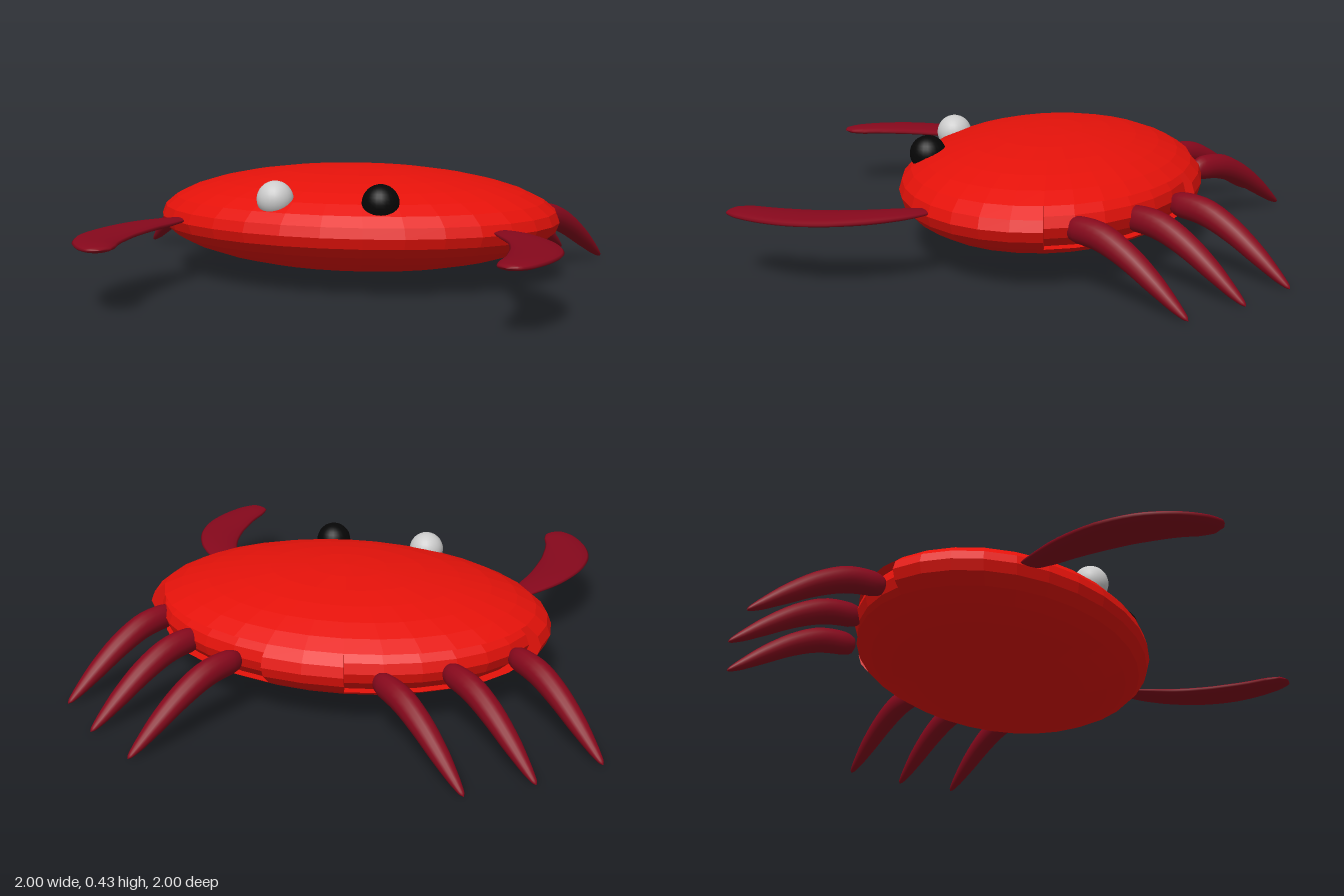
import * as THREE from 'three';

const shellRed = new THREE.MeshStandardMaterial({ color: 0xe5120a, flatShading: true });
const limbRed = new THREE.MeshStandardMaterial({ color: 0x86081c });
const black = new THREE.MeshStandardMaterial({ color: 0x060606 });
const grey = new THREE.MeshStandardMaterial({ color: 0xcccccc });

// Ellipsoid shell of 32 x 16 faces, with a shallow recess behind each group of legs
function shellGeometry() {
  const center = [0.08, 0.233, -0.067], radius = [0.799, 0.2, 0.573], inset = 0.94;
  const step = Math.PI / 16, pos = [];
  const point = (i, j, k = 1) => {
    const a = i * step, lat = j * step - Math.PI / 2, c = Math.cos(lat) * k;
    return [center[0] + radius[0] * c * Math.cos(a), center[1] + radius[1] * Math.sin(lat),
      center[2] - radius[2] * c * Math.sin(a)];
  };
  const quad = (a, b, c, d) => pos.push(...a, ...b, ...c, ...a, ...c, ...d);
  const sunk = (i, j) => j >= 6 && j <= 9 && ((i >= 1 && i <= 6) || (i >= 9 && i <= 14));
  for (let i = 0; i < 32; i++) {
    for (let j = 0; j < 16; j++) {
      const s = sunk(i, j), k = s ? inset : 1;
      quad(point(i, j, k), point(i + 1, j, k), point(i + 1, j + 1, k), point(i, j + 1, k));
      if (!s) continue;
      // recess walls
      const wall = (i0, j0, i1, j1) =>
        quad(point(i0, j0), point(i1, j1), point(i1, j1, inset), point(i0, j0, inset));
      if (!sunk(i - 1, j)) wall(i, j + 1, i, j);
      if (!sunk(i + 1, j)) wall(i + 1, j, i + 1, j + 1);
      if (!sunk(i, j - 1)) wall(i, j, i + 1, j);
      if (!sunk(i, j + 1)) wall(i + 1, j + 1, i, j + 1);
    }
  }
  const g = new THREE.BufferGeometry();
  g.setAttribute('position', new THREE.Float32BufferAttribute(pos, 3));
  g.computeVertexNormals();
  return g;
}

// Smooth limb with elliptical sections; each station is [x, y, z, half width, half height]
function limbGeometry(stations, rings = 28, sides = 16) {
  const path = new THREE.CatmullRomCurve3(stations.map(s => new THREE.Vector3(s[0], s[1], s[2])));
  const size = new THREE.CatmullRomCurve3(stations.map(s => new THREE.Vector3(s[3], s[4], 0)));
  const pos = [], index = [], worldUp = new THREE.Vector3(0, 1, 0);
  for (let r = 0; r <= rings; r++) {
    const t = r / rings, p = path.getPoint(t), q = size.getPoint(t), dir = path.getTangent(t);
    const side = new THREE.Vector3().crossVectors(dir, worldUp).normalize();
    const up = new THREE.Vector3().crossVectors(side, dir);
    for (let k = 0; k < sides; k++) {
      const a = k / sides * Math.PI * 2;
      const v = p.clone().addScaledVector(side, Math.cos(a) * q.x).addScaledVector(up, Math.sin(a) * q.y);
      pos.push(v.x, v.y, v.z);
      if (r === rings) continue;
      const n = (k + 1) % sides, b = r * sides, c = b + sides;
      index.push(b + k, c + n, b + n, b + k, c + k, c + n);
    }
  }
  const g = new THREE.BufferGeometry();
  g.setAttribute('position', new THREE.Float32BufferAttribute(pos, 3));
  g.setIndex(index);
  g.computeVertexNormals();
  return g;
}

export function createModel() {
  const model = new THREE.Group();
  const add = (name, geometry, material) => {
    const mesh = new THREE.Mesh(geometry, material);
    mesh.name = name;
    model.add(mesh);
    return mesh;
  };

  add('shell', shellGeometry(), shellRed);

  // Eyes
  const eye = new THREE.SphereGeometry(0.069, 24, 16);
  add('rightEye', eye, grey).position.set(-0.125, 0.35, 0.378);
  add('leftEye', eye, black).position.set(0.275, 0.35, 0.378);

  // Legs: [distance outward, height, half width, half height]
  const legProfile = [[-0.012, 0.215, 0, 0], [0, 0.217, 0.027, 0.034], [0.04, 0.222, 0.039, 0.048],
    [0.14, 0.213, 0.045, 0.05], [0.25, 0.168, 0.044, 0.044], [0.36, 0.1, 0.036, 0.034],
    [0.45, 0.037, 0.021, 0.019], [0.49, 0.01, 0.01, 0.008], [0.5, 0.003, 0, 0]];
  const legTips = {
    right: { dir: [-0.77, -0.638], tips: [[-1, -0.58], [-0.8, -0.775], [-0.58, -0.915]] },
    left: { dir: [0.505, -0.863], tips: [[0.995, -0.68], [0.815, -0.855], [0.603, -0.995]] },
  };
  for (const [sideName, { dir, tips }] of Object.entries(legTips)) {
    tips.forEach(([tx, tz], n) => {
      const stations = legProfile.map(([s, y, w, h]) =>
        [tx + dir[0] * (s - 0.5), y, tz + dir[1] * (s - 0.5), w, h]);
      add(`${sideName}Leg${n + 1}`, limbGeometry(stations), limbRed);
    });
  }

  // Flat curved claws: [x, z, half width]
  const claws = {
    rightClaw: [[-0.53, 0.25, 0], [-0.54, 0.27, 0.033], [-0.575, 0.36, 0.06], [-0.615, 0.46, 0.078],
      [-0.649, 0.6, 0.095], [-0.656, 0.72, 0.098], [-0.635, 0.84, 0.086], [-0.595, 0.93, 0.068],
      [-0.568, 0.975, 0.044], [-0.556, 0.99, 0]],
    leftClaw: [[0.69, 0.25, 0], [0.705, 0.27, 0.037], [0.758, 0.34, 0.06], [0.822, 0.45, 0.077],
      [0.861, 0.57, 0.09], [0.872, 0.67, 0.093], [0.862, 0.78, 0.083], [0.835, 0.88, 0.067],
      [0.817, 0.932, 0.044], [0.81, 0.95, 0]],
  };
  for (const [name, outline] of Object.entries(claws)) {
    const stations = outline.map(([x, z, w]) => [x, 0.242, z, w, Math.min(w * 0.25, 0.018)]);
    add(name, limbGeometry(stations, 36), limbRed);
  }
  return model;
}
